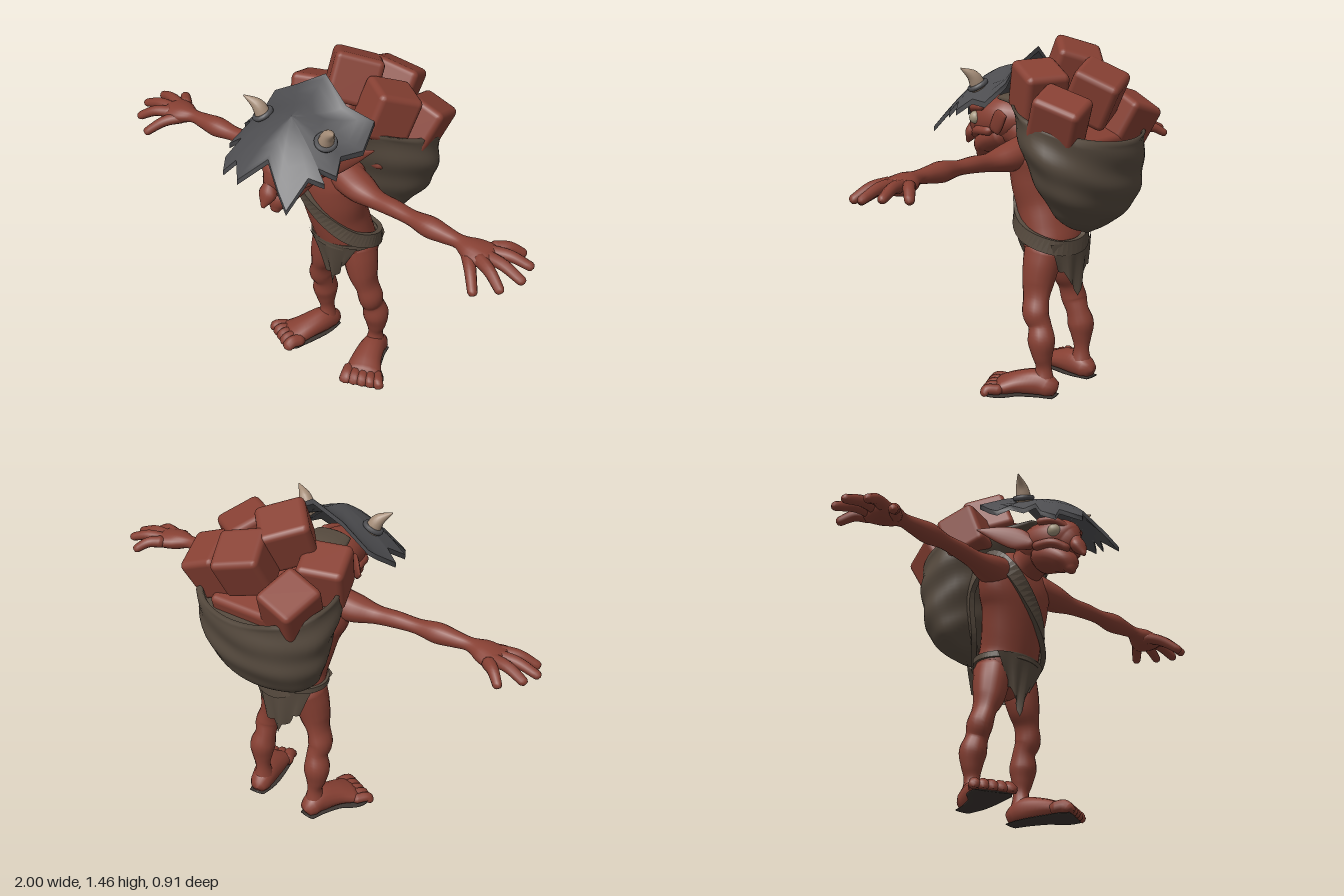
import * as THREE from 'three';
import { RoundedBoxGeometry } from 'three/addons/geometries/RoundedBoxGeometry.js';

const V = (x, y, z) => new THREE.Vector3(x, y, z);
const UP = V(0, 1, 0), FRONT = V(0, 0, 1);

// Closed cross-sections, one after the other, joined into a surface
function skinRings(rings) {
  const n = rings[0].length, pos = [], idx = [];
  rings.forEach(r => r.forEach(p => pos.push(p.x, p.y, p.z)));
  for (let i = 0; i < rings.length - 1; i++) for (let j = 0; j < n; j++) {
    const a = i * n + j, b = i * n + (j + 1) % n;
    idx.push(a, b, a + n, b, b + n, a + n);
  }
  const g = new THREE.BufferGeometry();
  g.setAttribute('position', new THREE.Float32BufferAttribute(pos, 3));
  g.setIndex(idx);
  g.computeVertexNormals();
  return g;
}

// Smooth limb through [x, y, z, half width, half height] with rounded ends
function limb(pts, ref = UP, floor = -1, sides = 16) {
  const path = new THREE.CatmullRomCurve3(pts.map(p => V(p[0], p[1], p[2])), false, 'catmullrom');
  const size = new THREE.CatmullRomCurve3(pts.map(p => V(p[3], p[4], 0)), false, 'catmullrom');
  const rings = [], steps = (pts.length - 1) * 5;
  const ring = (t, k, shift) => {
    const c = path.getPoint(t), T = path.getTangent(t), s = size.getPoint(t);
    const S = V().crossVectors(ref, T).normalize(), U = V().crossVectors(T, S);
    c.addScaledVector(T, shift * Math.min(s.x, s.y) * 0.8);
    rings.push(Array.from({ length: sides }, (_, j) => {
      const a = j / sides * Math.PI * 2;
      const p = c.clone().addScaledVector(S, Math.cos(a) * s.x * k).addScaledVector(U, Math.sin(a) * s.y * k);
      p.y = Math.max(p.y, floor);
      return p;
    }));
  };
  for (const a of [0, 0.5, 1]) ring(0, Math.sin(a * Math.PI / 2), -Math.cos(a * Math.PI / 2));
  for (let i = 1; i < steps; i++) ring(i / steps, 1, 0);
  for (const a of [1, 0.5, 0]) ring(1, Math.sin(a * Math.PI / 2), Math.cos(a * Math.PI / 2));
  return skinRings(rings);
}

// Flat band following a closed loop around the body
function band(points, half, thick) {
  const curve = new THREE.CatmullRomCurve3(points.map(p => V(...p)), true), rings = [];
  for (let i = 0; i <= 64; i++) {
    const p = curve.getPoint(i / 64), T = curve.getTangent(i / 64);
    const N = V(p.x - 0.02, 0, p.z + 0.04).normalize();
    const B = V().crossVectors(T, N).normalize(), S = V().crossVectors(B, T);
    rings.push([[1, -1], [1, 1], [-1, 1], [-1, -1]].map(([a, b]) =>
      p.clone().addScaledVector(S, a * thick).addScaledVector(B, b * half)));
  }
  const g = skinRings(rings).toNonIndexed();
  g.computeVertexNormals();
  return g;
}

// Ragged flap hanging from the hips, dir = 1 front, -1 back
function flap(dir, halfWidth, length, taper) {
  const g = new THREE.PlaneGeometry(1, 1, 16, 8), p = g.attributes.position;
  for (let i = 0; i < p.count; i++) {
    const u = p.getX(i) * 2, v = 0.5 - p.getY(i), col = Math.round((u + 1) * 8);
    const drop = length * (1 - 0.5 * Math.abs(u) - (col % 4 === 2 ? 0.1 : col % 2 ? 0.04 : 0)) * v;
    const x = u * halfWidth * (1 - taper * v);
    const z = -0.08 + dir * (0.135 * Math.sqrt(1 - (x / 0.18) ** 2) - v * (dir > 0 ? 0.05 : 0.02) + 0.01 * Math.sin(u * 9) * v);
    p.setXYZ(i, 0.025 + x * dir, 0.65 - drop, z);
  }
  g.computeVertexNormals();
  return g;
}

// Open sack: an inner floor, a rolled rim, then the hanging folds
function sack() {
  // front z, front y, back z, back y, half width, centre x
  const rows = [[0.04, 1.23, -0.455, 1.08, 0.305, 0.04], [-0.01, 1.08, -0.445, 0.97, 0.305, 0.04],
    [-0.06, 0.94, -0.43, 0.87, 0.275, 0.03], [-0.11, 0.82, -0.38, 0.78, 0.225, 0.01],
    [-0.16, 0.73, -0.31, 0.72, 0.14, 0], [-0.215, 0.685, -0.225, 0.675, 0.01, 0]];
  const curve = k => new THREE.CatmullRomCurve3(rows.map(r => V(r[k], r[k + 1], 0)), false, 'catmullrom');
  const front = curve(0), back = curve(2), width = curve(4), rings = [];
  const ring = (t, k, dy) => {
    const f = front.getPoint(t), b = back.getPoint(t), w = width.getPoint(t);
    rings.push(Array.from({ length: 48 }, (_, j) => {
      const a = j / 48 * Math.PI * 2, s = Math.sin(a), h = (1 + s * k) / 2;
      const fold = k * (1 + (t > 0 ? 0.018 * Math.sin(t * 25 + 3 * Math.cos(a) + 1.5 * s) + 0.012 * Math.sin(a * 7 + t * 9) : 0));
      return V(w.y + w.x * fold * Math.cos(a), b.y + (f.y - b.y) * h + dy,
        (f.x + b.x) / 2 + (f.x - b.x) / 2 * fold * s);
    }));
  };
  ring(0, 0, -0.08); ring(0, 0.88, -0.08); ring(0, 0.93, -0.01); ring(0, 0.96, 0.005);
  for (let i = 0; i <= 40; i++) ring(i / 40, 1, 0);
  return skinRings(rings);
}

// Jagged, tilted helmet plate with thickness; rim rings are doubled to keep a sharp edge
function helmetPlate() {
  const edge = [[-0.25, 0.04], [-0.12, 0.05], [0, 0.02], [0.13, 0.05], [0.235, 0.01], [0.255, 0.1], [0.22, 0.19],
    [0.25, 0.25], [0.19, 0.285], [0.235, 0.3], [0.18, 0.33], [0.165, 0.44], [0.11, 0.42], [0.02, 0.375], [-0.075, 0.45],
    [-0.14, 0.385], [-0.19, 0.41], [-0.225, 0.36], [-0.19, 0.3], [-0.26, 0.3], [-0.235, 0.2], [-0.29, 0.18], [-0.25, 0.1]];
  const ridge = new THREE.CatmullRomCurve3([V(0.02, 1.42, 0), V(0.1, 1.355, 0), V(0.22, 1.32, 0), V(0.32, 1.265, 0), V(0.45, 1.14, 0)]);
  const line = ridge.getPoints(60);
  const height = (x, z) => {
    const i = Math.max(1, line.findIndex(p => p.x >= z)), a = line[i - 1], b = line[i];
    return a.y + (b.y - a.y) * (z - a.x) / (b.x - a.x) - 0.28 * Math.abs(x) - 1.1 * x * x;
  };
  const ring = (t, dy) => edge.map(([ex, ez]) => {
    const x = ex * t, z = 0.22 + (ez - 0.22) * t;
    return V(x, height(x, Math.min(0.449, Math.max(0.021, z))) + dy, z);
  });
  const steps = [0, 0.2, 0.4, 0.6, 0.8, 0.9, 1, 1];
  return skinRings([...steps.map(t => ring(t, 0)), ...steps.slice().reverse().map(t => ring(t, -0.022))]);
}

export function createModel() {
  const root = new THREE.Group();
  root.name = 'packCarrier';
  const material = (name, color, side = THREE.FrontSide) => {
    const m = new THREE.MeshStandardMaterial({ color, side });
    m.name = name;
    return m;
  };
  const skin = material('redSkin', 0x874033), cloth = material('brownCloth', 0x574b3f, THREE.DoubleSide);
  const iron = material('greyIron', 0x4e4e51), bone = material('tanBone', 0xa58d78), eyeMat = material('paleEye', 0xa3957c);
  const soleMat = material('darkSole', 0x3d3632);
  const add = (name, geometry, mat) => {
    const mesh = new THREE.Mesh(geometry, mat);
    mesh.name = name;
    root.add(mesh);
    return mesh;
  };

  // Body
  add('torso', limb([[0.025, 0.56, -0.075, 0.1, 0.08], [0.025, 0.61, -0.078, 0.14, 0.112], [0.025, 0.69, -0.055, 0.135, 0.115],
    [0.015, 0.78, -0.03, 0.142, 0.113], [0.01, 0.87, -0.01, 0.162, 0.112], [0, 0.95, 0, 0.186, 0.108],
    [0, 1.02, 0.01, 0.18, 0.09], [0, 1.07, 0.02, 0.11, 0.07]], FRONT, -1, 28), skin);
  add('neck', limb([[0, 1.01, 0, 0.1, 0.08], [0, 1.06, 0.08, 0.075, 0.08], [0, 1.09, 0.17, 0.08, 0.085]]), skin);

  // Head
  add('skull', limb([[0, 1.12, 0.09, 0.07, 0.065], [0, 1.115, 0.15, 0.1, 0.09], [0, 1.11, 0.22, 0.1, 0.095],
    [0, 1.09, 0.28, 0.082, 0.095], [0, 1.065, 0.315, 0.05, 0.075]], UP, -1, 24), skin);
  add('jaw', limb([[0, 1.05, 0.18, 0.085, 0.06], [0, 1.025, 0.25, 0.08, 0.055], [0, 0.99, 0.3, 0.058, 0.045], [0, 0.95, 0.32, 0.024, 0.022]]), skin);
  add('nose', limb([[0, 1.13, 0.32, 0.018, 0.02], [0, 1.075, 0.345, 0.028, 0.026], [0, 1.035, 0.365, 0.038, 0.028], [0, 0.995, 0.39, 0.01, 0.01]], FRONT), skin);

  // Mirrored parts
  for (const s of [1, -1]) {
    const side = s > 0 ? 'left' : 'right';
    const mir = (pts, cx = 0) => pts.map(p => [cx + s * p[0], ...p.slice(1)]);
    add(side + 'Eye', new THREE.SphereGeometry(0.028, 16, 12), eyeMat).position.set(s * 0.07, 1.113, 0.292);
    add(side + 'Brow', limb(mir([[0.1, 1.165, 0.24, 0.016, 0.016], [0.075, 1.155, 0.3, 0.016, 0.016], [0.015, 1.118, 0.338, 0.014, 0.016]])), skin);
    add(side + 'Cheek', limb(mir([[0.09, 1.065, 0.21, 0.02, 0.02], [0.07, 1.06, 0.28, 0.022, 0.02], [0.03, 1.035, 0.325, 0.018, 0.018]])), skin);
    add(side + 'Ear', limb(mir([[0.085, 1.085, 0.185, 0.018, 0.025], [0.125, 1.11, 0.14, 0.014, 0.05], [0.175, 1.135, 0.08, 0.011, 0.038], [0.235, 1.16, 0.01, 0.004, 0.004]])), skin);

    // Arm and hand
    add(side + 'Arm', limb(mir([[0.1, 1, 0.02, 0.07, 0.07], [0.2, 0.985, 0.04, 0.066, 0.056], [0.29, 0.98, 0.055, 0.042, 0.038],
      [0.38, 0.985, 0.062, 0.037, 0.034], [0.47, 0.985, 0.068, 0.034, 0.03], [0.56, 0.985, 0.072, 0.044, 0.042],
      [0.64, 0.985, 0.074, 0.035, 0.033], [0.7, 0.985, 0.075, 0.031, 0.027], [0.76, 0.978, 0.075, 0.06, 0.037], [0.83, 0.972, 0.065, 0.075, 0.034]])), skin);
    const tips = [[0.895, 0.95, -0.06], [0.968, 0.96, 0.003], [0.985, 0.95, 0.085], [0.945, 0.935, 0.165], [0.86, 0.908, 0.21]];
    tips.forEach(([x, y, z], i) => {
      const base = i < 4 ? [0.815, 0.978, 0.012 + i * 0.032] : [0.755, 0.97, 0.1];
      const mid = [(base[0] + x) / 2, (base[1] + y) / 2 + 0.014, (base[2] + z) / 2];
      add(side + 'Finger' + (i + 1), limb(mir([[...base, 0.027, 0.027], [...mid, 0.023, 0.023], [x, y, z, 0.019, 0.018]]), UP, -1, 10), skin);
    });

    // Leg and foot
    add(side + 'Leg', limb(mir([[0.08, 0.61, -0.08, 0.065, 0.085], [0.09, 0.54, -0.073, 0.07, 0.078], [0.105, 0.47, -0.07, 0.062, 0.068],
      [0.125, 0.41, -0.075, 0.044, 0.058], [0.14, 0.35, -0.083, 0.05, 0.058], [0.137, 0.3, -0.102, 0.044, 0.05],
      [0.145, 0.24, -0.115, 0.055, 0.058], [0.145, 0.18, -0.12, 0.044, 0.043], [0.14, 0.125, -0.123, 0.031, 0.034], [0.14, 0.06, -0.12, 0.047, 0.052]], 0.025), FRONT), skin);
    add(side + 'Foot', limb(mir([[0.137, 0.045, -0.152, 0.046, 0.045], [0.147, 0.057, -0.1, 0.054, 0.057],
      [0.174, 0.05, -0.02, 0.066, 0.047], [0.205, 0.035, 0.045, 0.082, 0.035]], 0.025), UP, 0.012), skin);
    for (let i = 0; i < 5; i++) {
      const k = i / 4, r = 0.028 - 0.006 * k;
      add(side + 'Toe' + (i + 1), limb(mir([[0.145 + 0.12 * k, 0.035, 0.06 - 0.045 * k, r, r],
        [0.16 + 0.135 * k, 0.038, 0.095 - 0.045 * k, r, r], [0.168 + 0.14 * k, 0.024, 0.12 - 0.06 * k, r, r * 0.8]], 0.025), UP, 0.012, 10), skin);
    }
    add(side + 'Sole', limb(mir([[0.137, 0.009, -0.178, 0.036, 0.004], [0.147, 0.009, -0.1, 0.052, 0.004], [0.174, 0.009, -0.02, 0.066, 0.004],
      [0.212, 0.009, 0.045, 0.088, 0.004], [0.232, 0.009, 0.09, 0.078, 0.004]], 0.025)), soleMat);

    // Helmet horns with their sockets
    add(side + 'Horn', limb(mir([[0.155, 1.25, 0.205, 0.033, 0.033], [0.18, 1.3, 0.215, 0.026, 0.026], [0.228, 1.335, 0.24, 0.003, 0.003]]), FRONT), bone);
    const socket = add(side + 'HornSocket', new THREE.TorusGeometry(0.035, 0.011, 8, 20), iron);
    socket.position.set(s * 0.161, 1.264, 0.207);
    socket.lookAt(s * 0.22, 1.4, 0.25);
  }

  // Helmet
  add('helmet', helmetPlate(), iron);

  // Clothing
  add('hood', limb([[0, 1.19, 0.02, 0.15, 0.025], [0, 1.2, 0.09, 0.11, 0.025], [0, 1.205, 0.17, 0.08, 0.015]]), cloth);
  add('frontLoincloth', flap(1, 0.135, 0.25, 0.55), cloth);
  add('backLoincloth', flap(-1, 0.145, 0.24, 0.3), cloth);
  add('belt', band(Array.from({ length: 12 }, (_, i) => {
    const a = -i / 12 * Math.PI * 2;
    return [0.025 + 0.146 * Math.cos(a), 0.643, -0.072 + 0.12 * Math.sin(a)];
  }), 0.012, 0.006), cloth);
  add('shoulderStrap', band([[-0.14, 1.07, 0.0], [-0.125, 1, 0.085], [-0.03, 0.88, 0.108], [0.07, 0.78, 0.08], [0.145, 0.705, 0.02],
    [0.18, 0.665, -0.07], [0.13, 0.63, -0.175], [0, 0.64, -0.205], [-0.1, 0.75, -0.14], [-0.16, 0.95, -0.1]], 0.03, 0.011), cloth);
  add('sack', sack(), cloth);

  // Blocks carried in the sack: position, size, rotation
  [[0, 1.335, -0.15, 0.2, 0.2, 0.19, -0.4, 0.72, 0], [-0.16, 1.2, -0.12, 0.19, 0.2, 0.18, -0.35, 0.3, 0.15],
    [0.195, 1.27, -0.12, 0.18, 0.2, 0.19, -0.4, -0.5, -0.25], [-0.135, 1.14, -0.31, 0.18, 0.2, 0.19, -0.4, -0.25, 0.2],
    [0.075, 1.26, -0.305, 0.2, 0.2, 0.19, -0.45, 0.35, -0.1], [0.265, 1.175, -0.265, 0.16, 0.2, 0.2, -0.35, 0.25, -0.3],
    [0.05, 1.06, -0.2, 0.36, 0.14, 0.3, -0.3, 0, 0]]
    .forEach(([x, y, z, w, h, d, rx, ry, rz], i) => {
      const block = add('block' + (i + 1), new RoundedBoxGeometry(w, h, d, 2, 0.025), skin);
      block.position.set(x, y, z);
      block.rotation.set(rx, ry, rz);
    });
  return root;
}
